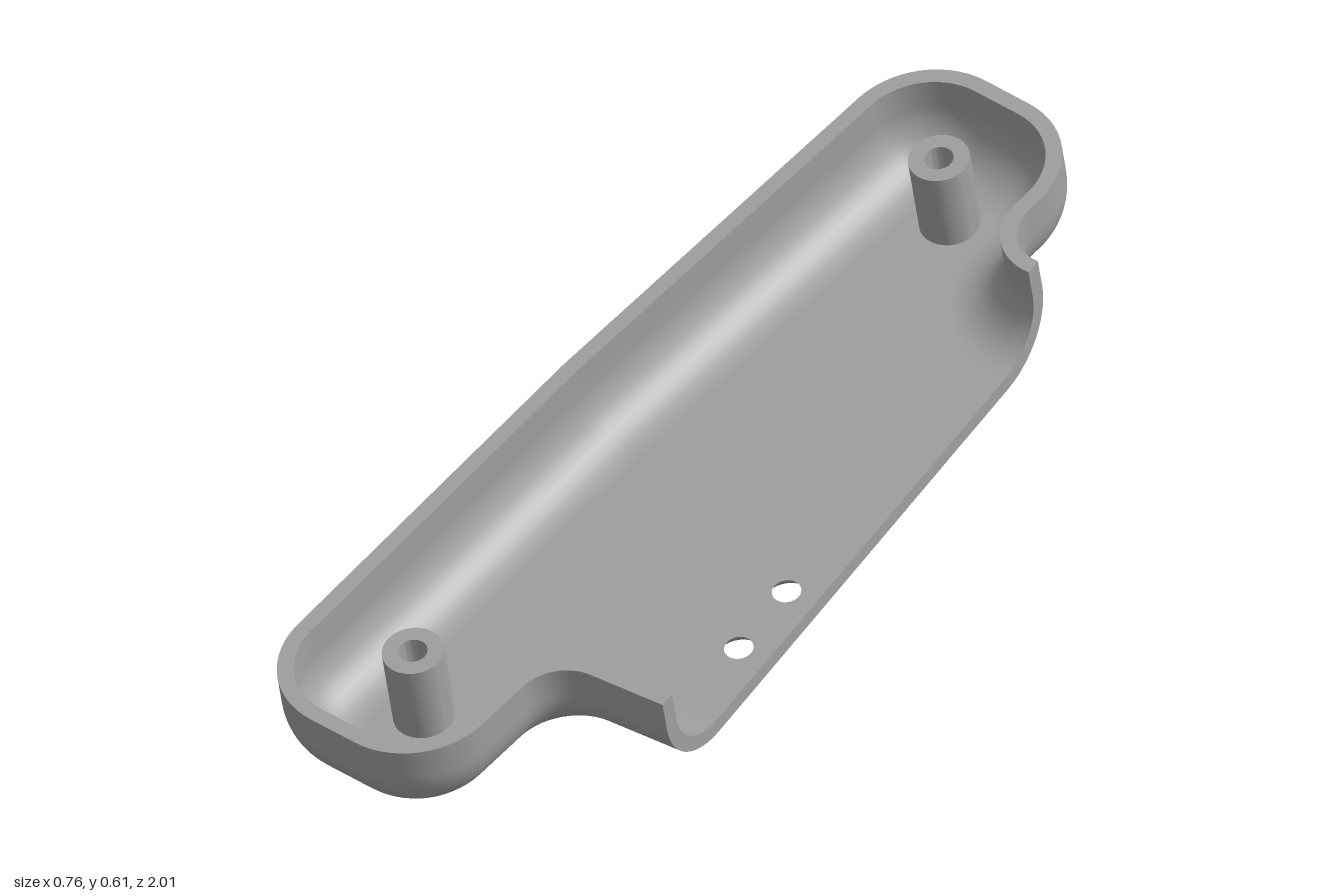
import * as THREE from 'three';
import { toCreasedNormals } from 'three/addons/utils/BufferGeometryUtils.js';

const TILT = THREE.MathUtils.degToRad(12);
const H = 0.222;      // tray depth below the rim
const R = 0.15;       // fillet between wall and floor
const T = 0.033;      // wall thickness
const CUT = 0.375;    // open side of the half shell
const STEPS = 14;

// Rim outline: x, z, corner radius
const OUTLINE = [
  [CUT, -0.647, 0], [0.272, -0.647, 0.09], [0.31, -0.96, 0.18], [-0.154, -1.004, 0.18],
  [-0.3, 0, 0.8], [-0.398, 0.971, 0.18], [0.067, 1.014, 0.18], [0.115, 0.642, 0.1], [CUT, 0.642, 0],
].map(([x, z, r]) => [x, z / Math.cos(TILT), r]);

// Round the outline corners, keeping the inward normal at every point
function roundedPath() {
  const path = [];
  const dir = i => new THREE.Vector2(OUTLINE[i + 1][0] - OUTLINE[i][0], OUTLINE[i + 1][1] - OUTLINE[i][1]).normalize();
  const inward = d => new THREE.Vector2(d.y, -d.x);
  const last = OUTLINE.length - 1;
  OUTLINE.forEach(([x, z, r], i) => {
    const p = new THREE.Vector2(x, z);
    if (i === 0 || i === last) {
      path.push({ p, n: inward(dir(i === 0 ? 0 : last - 1)) });
      return;
    }
    const a = dir(i - 1), b = dir(i);
    const turn = Math.atan2(a.cross(b), a.dot(b));
    const side = -Math.sign(turn);
    const n0 = inward(a);
    const centre = p.addScaledVector(a, -r * Math.tan(Math.abs(turn) / 2)).addScaledVector(n0, r * side);
    for (let k = 0; k <= STEPS; k++) {
      const n = n0.clone().rotateAround(new THREE.Vector2(), turn * k / STEPS);
      path.push({ p: centre.clone().addScaledVector(n, -r * side), n });
    }
  });
  return path;
}

// Wall profile from rim to floor as [inset, height]
function wallProfile(t) {
  const pts = [[t, 0]];
  for (let k = 0; k <= STEPS; k++) {
    const a = k / STEPS * Math.PI / 2;
    pts.push([t + (R - t) * (1 - Math.cos(a)), R - H - (R - t) * Math.sin(a)]);
  }
  return pts;
}

// Sweep a profile along the path
function sweep(path, profile) {
  const pos = [], idx = [], m = profile.length;
  path.forEach(({ p, n }, i) => profile.forEach(([d, y], j) => {
    pos.push(p.x + n.x * d, y, p.y + n.y * d);
    if (i < path.length - 1 && j < m - 1) {
      const a = i * m + j, b = a + m;
      idx.push(a, b, a + 1, b, b + 1, a + 1);
    }
  }));
  const g = new THREE.BufferGeometry();
  g.setAttribute('position', new THREE.Float32BufferAttribute(pos, 3));
  g.setIndex(idx);
  g.computeVertexNormals();
  return g;
}

// Flat floor face with round holes [x, z, r]
function floorFace(path, holes, up) {
  const s = up ? -1 : 1;
  const shape = new THREE.Shape(path.map(({ p, n }) => new THREE.Vector2(p.x + n.x * R, s * (p.y + n.y * R))));
  for (const [x, z, r] of holes) {
    shape.holes.push(new THREE.Path().absarc(x, s * z, r, 0, Math.PI * 2, true));
  }
  return new THREE.ShapeGeometry(shape, 16).rotateX(s * Math.PI / 2).translate(0, up ? T - H : -H, 0);
}

export function createModel() {
  const model = new THREE.Group();
  const tray = new THREE.Group();
  tray.name = 'tiltedTray';
  tray.rotation.x = TILT;
  tray.position.y = 0.4;
  model.add(tray);

  const grey = new THREE.MeshStandardMaterial({ color: 0xa0a0a0, side: THREE.DoubleSide });
  grey.name = 'plainGrey';
  const add = (name, geometry, x = 0, z = 0) => {
    const mesh = new THREE.Mesh(geometry, grey);
    mesh.name = name;
    mesh.position.set(x, 0, z);
    tray.add(mesh);
  };

  // Shell walls and rim
  const path = roundedPath();
  const outer = wallProfile(0), inner = wallProfile(T);
  add('outerWall', sweep(path, [...outer].reverse()));
  add('rim', sweep(path, [[0, 0], [T, 0]]));
  add('innerWall', sweep(path, inner));

  // Floor, pierced by the posts and the two screw holes
  const bore = 0.029, sink = 0.052;
  const posts = [[0.048, -0.8], [-0.143, 0.763]];
  const screws = [[0.307, 0.16], [0.307, 0.328]];
  const all = [...posts, ...screws];
  add('floorTop', floorFace(path, all.map(([x, z]) => [x, z, bore]), true));
  add('floorUnderside', floorFace(path, all.map(([x, z]) => [x, z, sink]), false));

  // Section face along the open side
  const zBack = path[0].p.y, zFront = path[path.length - 1].p.y;
  const back = prof => prof.map(([d, y]) => new THREE.Vector2(-(zBack + d), y));
  const front = prof => prof.map(([d, y]) => new THREE.Vector2(-(zFront - d), y));
  const section = new THREE.Shape([
    ...back(outer), ...front(outer).reverse(), ...front(inner), ...back(inner).reverse(),
  ]);
  add('openSideEdge', new THREE.ShapeGeometry(section).rotateY(Math.PI / 2).translate(CUT, 0, 0));

  // Hollow posts and countersunk holes
  const lathe = pts => toCreasedNormals(
    new THREE.LatheGeometry(pts.map(([r, y]) => new THREE.Vector2(r, y)), 40), 0.5);
  const cone = [[bore, T - H], [sink, -H]];
  for (const [x, z] of posts) {
    add('screwPost', lathe([[0.061, T - H], [0.061, -0.004], [bore, -0.004], ...cone]), x, z);
  }
  for (const [x, z] of screws) add('countersunkHole', lathe(cone), x, z);

  return model;
}
